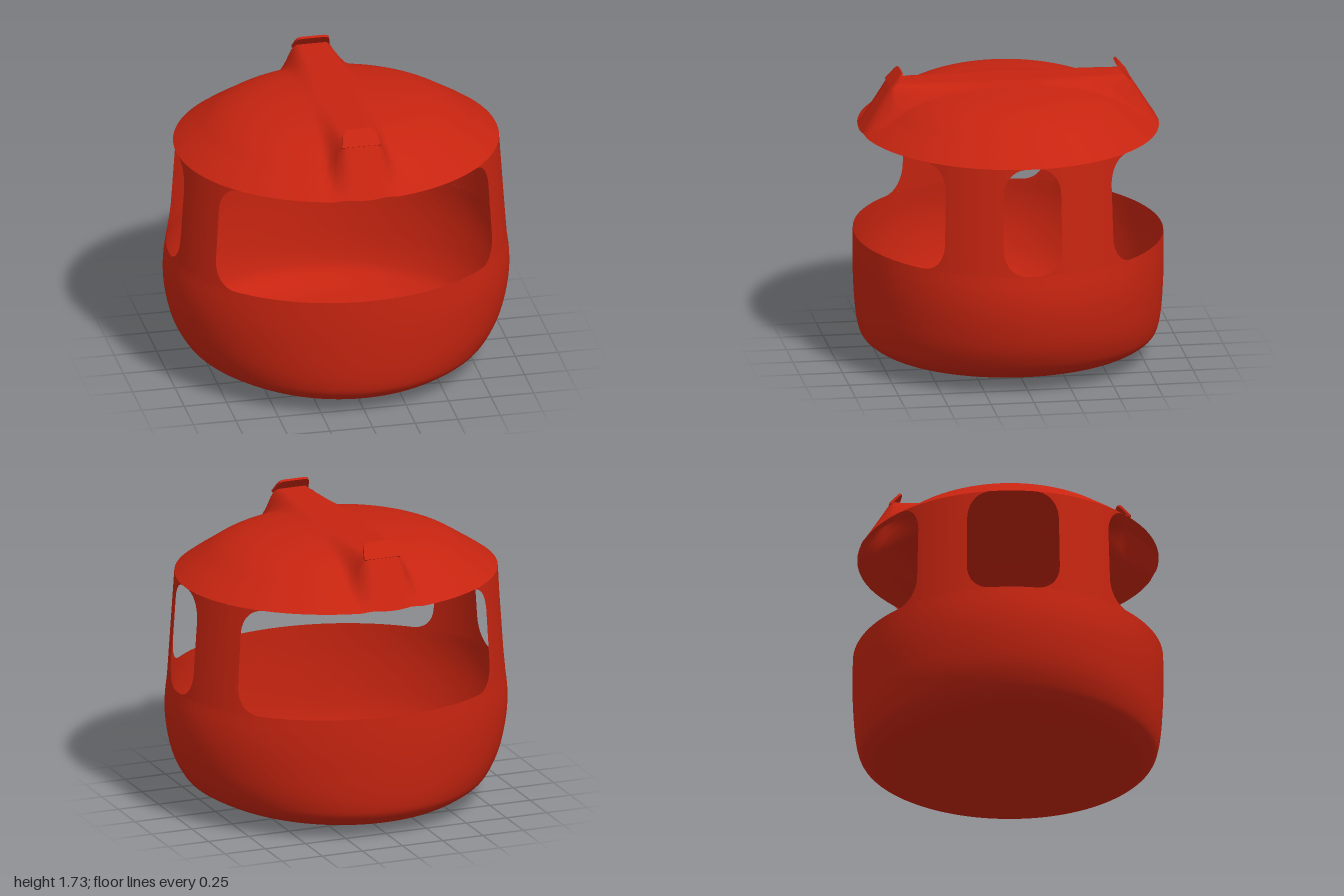
import * as THREE from 'three';
import { mergeVertices } from 'three/addons/utils/BufferGeometryUtils.js';

const red = new THREE.MeshStandardMaterial({ color: 0xc62410, side: THREE.DoubleSide });
red.name = 'cabin red';

const EAVE = 1.38, SILL = 0.75, RX = 0.94, RZ = 0.865;
const rad = THREE.MathUtils.degToRad;

// Smooth surface from a rule f(u, v) -> [x, y, z], with u and v from 0 to 1
function surface(name, nu, nv, f) {
  const pos = [], index = [];
  for (let j = 0; j <= nv; j++)
    for (let i = 0; i <= nu; i++) pos.push(...f(i / nu, j / nv));
  for (let j = 0; j < nv; j++)
    for (let i = 0; i < nu; i++) {
      const a = j * (nu + 1) + i, b = a + nu + 1;
      index.push(a, b, a + 1, a + 1, b, b + 1);
    }
  let g = new THREE.BufferGeometry();
  g.setAttribute('position', new THREE.Float32BufferAttribute(pos, 3));
  g.setIndex(index);
  g = mergeVertices(g, 1e-5);
  g.computeVertexNormals();
  const mesh = new THREE.Mesh(g, red);
  mesh.name = name;
  return mesh;
}

// Lower hull profile: x radius, height, z radius
const hull = new THREE.CatmullRomCurve3([
  [0, 0, 0], [0.4, 0.01, 0.4], [0.56, 0.03, 0.58], [0.69, 0.06, 0.73], [0.79, 0.105, 0.81],
  [0.86, 0.15, 0.85], [0.905, 0.21, 0.868], [0.95, 0.3, 0.88], [0.985, 0.43, 0.888],
  [1, 0.55, 0.892], [0.998, 0.65, 0.892], [0.985, SILL, 0.89],
].map(p => new THREE.Vector3(...p)), false, 'centripetal');

// Roof dome profile: fraction of the radius, height
const dome = new THREE.CatmullRomCurve3([
  [0, 1.66], [0.15, 1.656], [0.32, 1.643], [0.48, 1.622], [0.62, 1.588],
  [0.74, 1.54], [0.85, 1.475], [0.94, 1.42], [1, EAVE],
].map(p => new THREE.Vector3(p[0], p[1], 0)), false, 'centripetal');

// Height of the roof, with a narrow ridge running out to each hanger lip
function roofPoint(u, v) {
  const t = u * Math.PI * 2, p = dome.getPoint(v);
  const x = RX * p.x * Math.cos(t), z = RZ * p.x * Math.sin(t);
  const out = Math.max(0, (Math.abs(z) - 0.685) / (RZ - 0.685));
  const ridge = 1.665 - (1.665 - EAVE) * out;
  const w = 1 - THREE.MathUtils.smoothstep(Math.abs(x), 0.085, 0.19);
  return [x, p.y + Math.max(0, ridge - p.y) * w, z];
}

// Pillar between two openings, flaring at both ends into rounded window corners
function pillar(name, from, to) {
  const r = 0.17, spread = rad(9.5);
  return surface(name, 16, 48, (u, v) => {
    const e = (1 - Math.cos(v * Math.PI)) / 2;
    const y = SILL + (EAVE - SILL) * e;
    const d = Math.max(0, 1 - Math.min(y - SILL, EAVE - y) / r);
    const flare = spread * (1 - Math.pow(1 - Math.pow(d, 2.2), 1 / 2.2));
    const a = rad(from) - flare, b = rad(to) + flare, t = a + (b - a) * u;
    const rx = 0.985 + (RX - 0.985) * e, rz = 0.89 + (RZ - 0.89) * e;
    return [rx * Math.cos(t), y, rz * Math.sin(t)];
  });
}

// Thin hanger lip leaning inward over the end of the ridge
function hangerLip(name, side) {
  const s = new THREE.Shape();
  s.moveTo(-0.112, -0.015);
  s.lineTo(-0.1, 0.05);
  s.quadraticCurveTo(-0.095, 0.09, -0.06, 0.092);
  s.lineTo(0.06, 0.092);
  s.quadraticCurveTo(0.095, 0.09, 0.1, 0.05);
  s.lineTo(0.112, -0.015);
  const g = new THREE.ExtrudeGeometry(s, { depth: 0.014, bevelEnabled: false, curveSegments: 6 });
  g.translate(0, 0, -0.014);
  g.rotateX(-rad(40));
  const lip = new THREE.Mesh(g, red);
  lip.position.set(0, 1.66, 0.69);
  const holder = new THREE.Group();
  holder.name = name;
  lip.name = name + 'Plate';
  holder.add(lip);
  if (side < 0) holder.rotation.y = Math.PI;
  return holder;
}

export function createModel() {
  const cabin = new THREE.Group();
  cabin.name = 'cabin';

  cabin.add(surface('lowerHull', 128, 60, (u, v) => {
    const p = hull.getPoint(v), t = u * Math.PI * 2;
    return [p.x * Math.cos(t), p.y, p.z * Math.sin(t)];
  }));
  cabin.add(surface('roof', 160, 64, roofPoint));

  // Pillars leave a wide front and back opening, a left window and a wider right doorway
  cabin.add(pillar('frontLeftPillar', 11.1, 33.6));
  cabin.add(pillar('frontRightPillar', 146.4, 168.2));
  cabin.add(pillar('backRightPillar', 203.4, 224));
  cabin.add(pillar('backLeftPillar', 326.4, 348.9));

  cabin.add(hangerLip('frontHangerLip', 1));
  cabin.add(hangerLip('backHangerLip', -1));
  return cabin;
}
